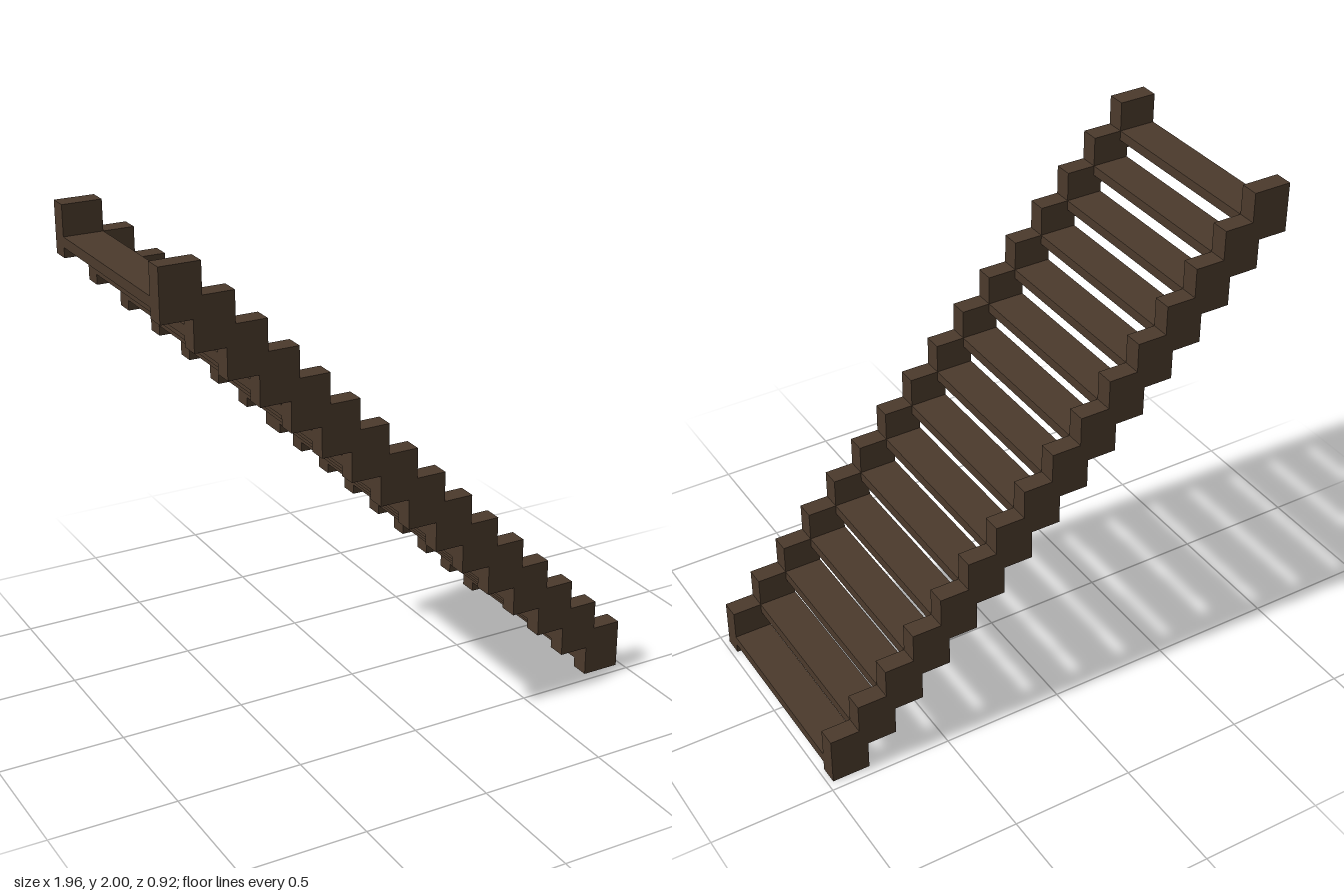
import * as THREE from 'three';

export function createModel() {
  const steps = 16, pitch = 0.12;      // equal rise and run
  const blockW = 0.155, blockH = 0.2;  // stringer tooth size
  const right = 0.9775;                // right edge of the lowest tooth
  const outerZ = 0.46, innerZ = 0.385;

  const wood = new THREE.MeshStandardMaterial({ color: 0x4b3a2c });
  wood.name = 'dark brown wood';

  const model = new THREE.Group();
  model.name = 'staircase';

  // Zigzag outline of a stringer: up along the top, back along the underside
  const outline = [];
  for (let i = 0; i < steps; i++) {
    const x = right - i * pitch;
    outline.push(new THREE.Vector2(x, i * pitch + (i ? blockH - pitch : 0)));
    outline.push(new THREE.Vector2(x, i * pitch + blockH));
  }
  for (let i = steps - 1; i >= 0; i--) {
    const x = right - blockW - i * pitch;
    outline.push(new THREE.Vector2(x, i === steps - 1 ? i * pitch + blockH : (i + 1) * pitch));
    outline.push(new THREE.Vector2(x, i * pitch));
  }
  const stringerGeo = new THREE.ExtrudeGeometry(new THREE.Shape(outline), {
    depth: outerZ - innerZ, bevelEnabled: false,
  });
  for (const [name, z] of [['frontStringer', innerZ], ['backStringer', -outerZ]]) {
    const stringer = new THREE.Mesh(stringerGeo, wood);
    stringer.name = name;
    stringer.position.z = z;
    model.add(stringer);
  }

  // Open treads between the stringers
  const treadH = 0.04;
  const treadGeo = new THREE.BoxGeometry(blockW, treadH, innerZ * 2);
  for (let i = 0; i < steps; i++) {
    const tread = new THREE.Mesh(treadGeo, wood);
    tread.name = `tread${i + 1}`;
    tread.position.set(right - blockW / 2 - i * pitch, i * pitch + 0.04 + treadH / 2, 0);
    model.add(tread);
  }

  // Small cleat under the middle tread, against the back stringer
  const cleat = new THREE.Mesh(new THREE.BoxGeometry(blockW, 0.04, 0.045), wood);
  cleat.name = 'cleat';
  cleat.position.set(right - blockW / 2 - 8 * pitch, 8 * pitch + 0.02, -innerZ + 0.0225);
  model.add(cleat);

  return model;
}
